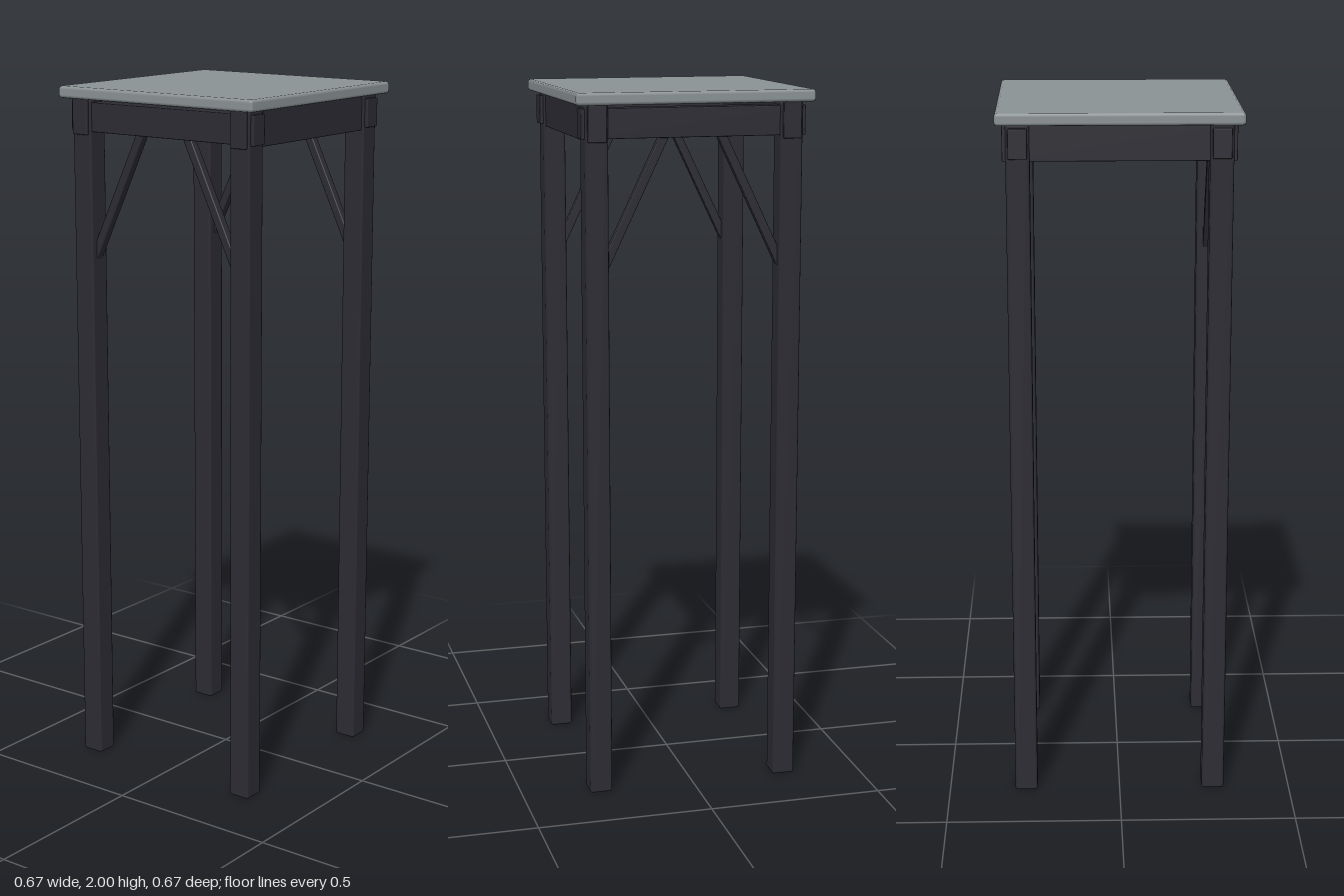
import * as THREE from 'three';
import { RoundedBoxGeometry } from 'three/addons/geometries/RoundedBoxGeometry.js';

const topGrey = new THREE.MeshStandardMaterial({ color: 0x8a9294 });
topGrey.name = 'topGrey';
const frameDark = new THREE.MeshStandardMaterial({ color: 0x2c2b33 });
frameDark.name = 'frameDark';

// Box with small chamfered edges
function block(name, w, h, d, bevel, material) {
  const mesh = new THREE.Mesh(new RoundedBoxGeometry(w, h, d, 1, bevel), material);
  mesh.name = name;
  return mesh;
}

export function createModel() {
  const group = new THREE.Group();
  group.name = 'tallStand';
  const add = (mesh, x, y, z) => {
    mesh.position.set(x, y, z);
    group.add(mesh);
    return mesh;
  };
  const LEG = 0.275; // leg centre offset

  // Slab top
  add(block('tableTop', 0.672, 0.034, 0.672, 0.009, topGrey), 0, 1.983, 0);

  for (const s of [-1, 1]) {
    // Rails run through the legs, their ends standing slightly proud
    add(block('crossRail', 0.634, 0.082, 0.052, 0.003, frameDark), 0, 1.915, s * LEG);
    add(block('sideRail', 0.052, 0.1, 0.634, 0.003, frameDark), s * LEG, 1.916, 0);

    for (const t of [-1, 1]) {
      add(block('leg', 0.065, 1.968, 0.065, 0.007, frameDark), s * LEG, 0.984, t * LEG);

      // Diagonal brace from the leg up to the cross rail
      const foot = new THREE.Vector2(s * 0.255, 1.515);
      const head = new THREE.Vector2(s * 0.073, 1.895);
      const dir = head.clone().sub(foot);
      const brace = block('brace', 0.025, dir.length(), 0.025, 0.003, frameDark);
      brace.rotation.z = Math.atan2(-dir.x, dir.y);
      add(brace, (foot.x + head.x) / 2, (foot.y + head.y) / 2, t * LEG);
    }
  }
  return group;
}
